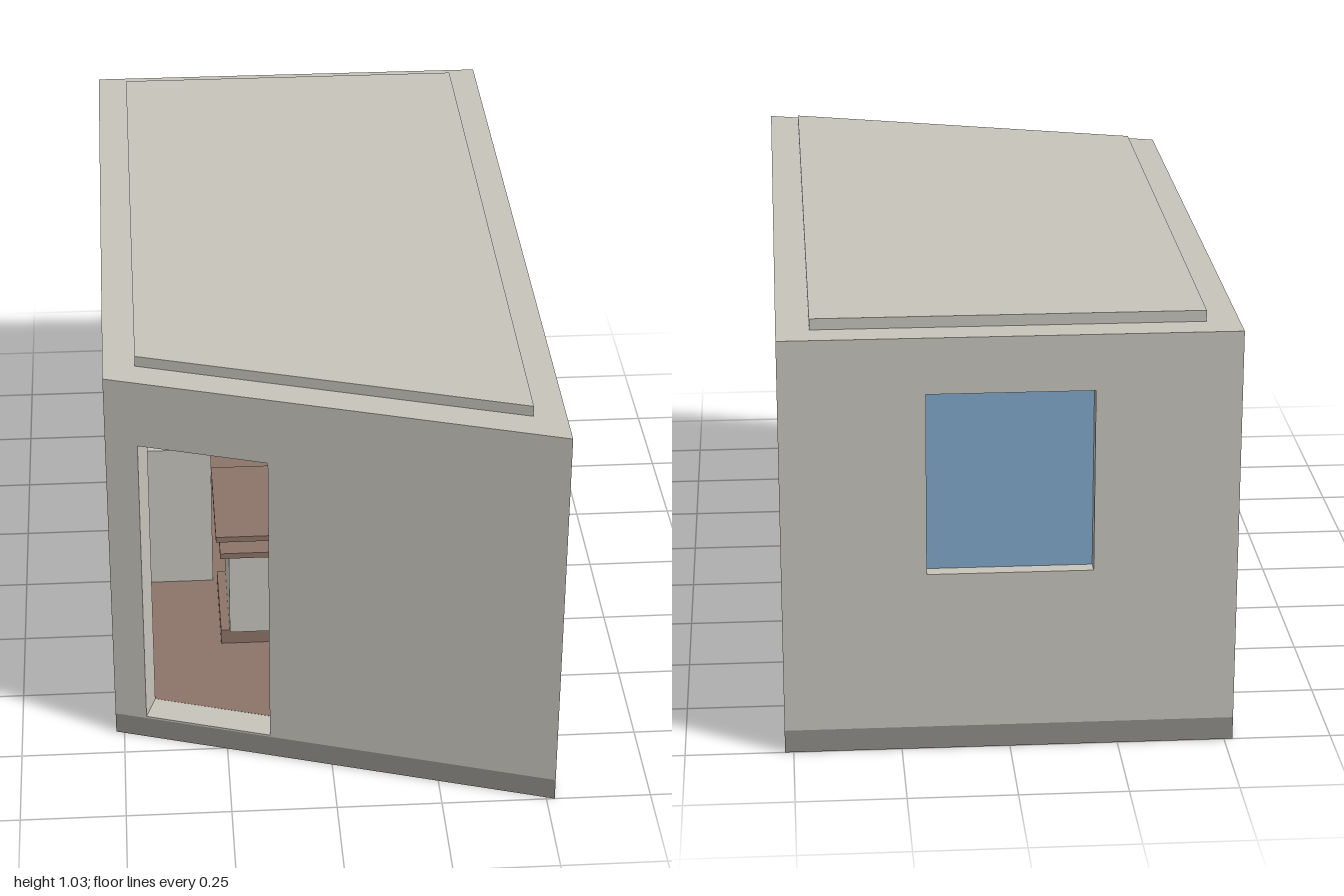
import * as THREE from 'three';

const mat = (name, color) => {
  const m = new THREE.MeshStandardMaterial({ color });
  m.name = name;
  return m;
};

export function createModel() {
  const plaster = mat('plaster', 0xc6c3bb);
  const concrete = mat('concrete grey', 0x8f8d88);
  const wood = mat('brown wood', 0x8c7468);
  const glassBlue = mat('glass blue', 0x7fa8c9);

  const root = new THREE.Group();
  root.name = 'cabin';
  const add = (name, geometry, material) => {
    const mesh = new THREE.Mesh(geometry, material);
    mesh.name = name;
    root.add(mesh);
    return mesh;
  };
  // Box given by its minimum and maximum corner
  const box = (name, material, [x0, y0, z0], [x1, y1, z1]) => {
    add(name, new THREE.BoxGeometry(x1 - x0, y1 - y0, z1 - z0), material)
      .position.set((x0 + x1) / 2, (y0 + y1) / 2, (z0 + z1) / 2);
  };
  // Horizontal slab from a footprint of [x, z] corners
  const slab = (name, material, corners, y0, y1) => {
    const shape = new THREE.Shape(corners.map(([x, z]) => new THREE.Vector2(x, -z)));
    const g = new THREE.ExtrudeGeometry(shape, { depth: y1 - y0, bevelEnabled: false });
    add(name, g.rotateX(-Math.PI / 2).translate(0, y0, 0), material);
  };

  // Footprint with a slanted front, and the same footprint inset by the walls
  const outer = [[-0.52, 0.665], [0.52, 1], [0.52, -1], [-0.52, -1]];
  const inner = [[-0.445, 0.61], [0.445, 0.896], [0.445, -0.925], [-0.445, -0.925]];
  const T = 0.075, Y0 = 0.055, Y1 = 1;

  slab('foundation', concrete, outer, 0, Y0);
  slab('floor', wood, inner, Y0, 0.06);
  slab('roofPanel', plaster, inner, 0.94, 1.026);
  slab('ceiling', concrete, inner, 0.925, 0.94);

  // Mitred wall between two corners, opening = [u0, u1, y0, y1]
  const wall = (name, i, opening, innerMaterial) => {
    const j = (i + 1) % 4;
    const [ax, az] = outer[i], [bx, bz] = outer[j];
    const L = Math.hypot(bx - ax, bz - az);
    const dx = (bx - ax) / L, dz = (bz - az) / L;
    const rect = (p, u0, u1, y0, y1) => {
      p.moveTo(u0, y0); p.lineTo(u1, y0); p.lineTo(u1, y1); p.lineTo(u0, y1); p.closePath();
      return p;
    };
    const shape = rect(new THREE.Shape(), 0, L, Y0, Y1);
    if (opening) shape.holes.push(rect(new THREE.Path(), ...opening));
    const g = new THREE.ExtrudeGeometry(shape, { depth: T, bevelEnabled: false });
    const p = g.attributes.position;
    for (let k = 0; k < p.count; k++) {
      const u = p.getX(k), inside = p.getZ(k) < T / 2;
      let x = ax + dx * u, z = az + dz * u;
      if (inside) {
        if (u < 1e-4) [x, z] = inner[i];
        else if (u > L - 1e-4) [x, z] = inner[j];
        else { x += dz * T; z -= dx * T; }
      }
      p.setXYZ(k, x, p.getY(k), z);
    }
    g.computeVertexNormals();
    // Inner face gets its own material
    const half = g.groups[0].count / 2;
    g.clearGroups();
    g.addGroup(0, half, 1);
    g.addGroup(half, p.count - half, 0);
    add(name, g, [plaster, innerMaterial]);
  };
  wall('frontWall', 0, [0.079, 0.391, 0.06, 0.832], concrete);
  wall('leftWall', 1, [0.12, 0.555, 0.06, 0.875], concrete);
  wall('backWall', 2, [0.33, 0.71, 0.435, 0.868], plaster);
  wall('rightWall', 3, null, concrete);

  // Back window with inner trim and sill
  box('windowGlass', glassBlue, [-0.19, 0.435, -0.965], [0.19, 0.868, -0.957]);
  for (const s of [-1, 1]) {
    const a = s * 0.19, b = s * 0.2;
    box('windowTrim', concrete, [Math.min(a, b), 0.435, -0.925], [Math.max(a, b), 0.868, -0.915]);
  }
  box('windowSill', wood, [-0.2, 0.405, -0.925], [0.2, 0.435, -0.9]);
  box('blindBox', concrete, [-0.228, 0.76, -0.925], [-0.2, 0.925, -0.86]);

  // Cupboards along the right-hand wall
  box('lowerCupboard', plaster, [-0.445, 0.06, -0.9], [-0.26, 0.46, 0.1]);
  box('upperCupboard', plaster, [-0.445, 0.61, -0.9], [-0.315, 0.925, 0.1]);

  // Desk with shelf, drawers and plinth
  box('deskTop', wood, [-0.26, 0.39, 0.1], [0.2, 0.405, 0.43]);
  box('deskShelf', wood, [-0.25, 0.335, 0.1], [0.2, 0.35, 0.42]);
  box('deskBack', plaster, [-0.228, 0.35, 0.1], [0.19, 0.39, 0.13]);
  box('deskPlinth', wood, [-0.25, 0.06, 0.12], [0.19, 0.1, 0.39]);
  for (let i = 0; i < 3; i++) {
    const x = -0.228 + i * 0.14;
    box('deskDrawer', plaster, [x, 0.1, 0.12], [x + 0.134, 0.335, 0.4]);
  }
  return root;
}
